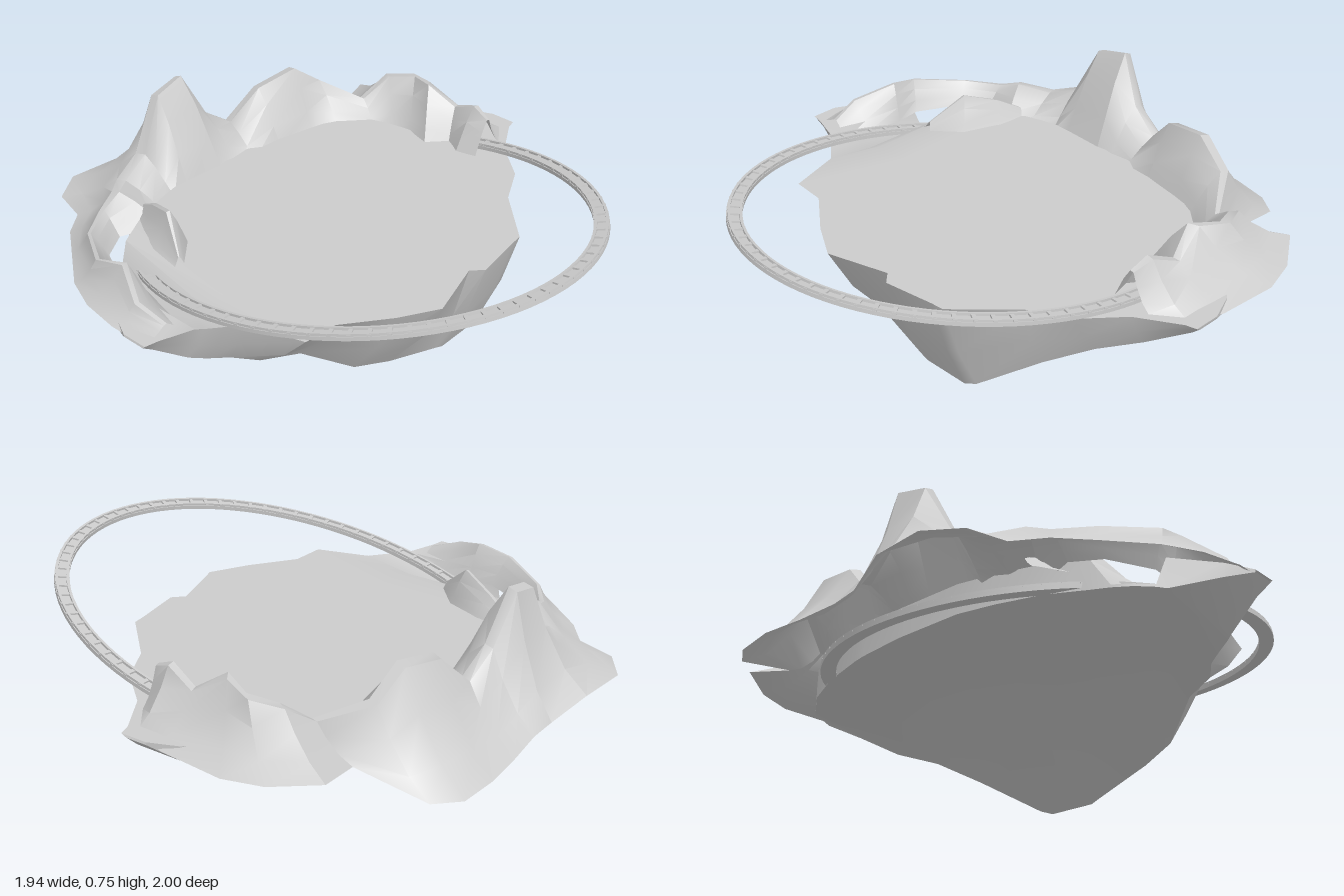
import * as THREE from 'three';
import { toCreasedNormals } from 'three/addons/utils/BufferGeometryUtils.js';

const material = new THREE.MeshStandardMaterial({ color: 0xcccccc, side: THREE.DoubleSide });
const mix = THREE.MathUtils.lerp;

// Skin a list of equally long cross-sections, each a list of [x, y, z]
function loft(name, rows, crease = 0.6) {
  const n = rows[0].length, index = [];
  for (let i = 0; i < rows.length - 1; i++) {
    for (let j = 0; j < n - 1; j++) {
      const a = i * n + j, b = a + 1, c = a + n, d = c + 1;
      index.push(a, b, c, b, d, c);
    }
  }
  const geometry = new THREE.BufferGeometry();
  geometry.setAttribute('position', new THREE.Float32BufferAttribute(rows.flat(2), 3));
  geometry.setIndex(index);
  const mesh = new THREE.Mesh(toCreasedNormals(geometry, crease), material);
  mesh.name = name;
  return mesh;
}

// Island stations: x, front rim z, keel z, keel y, back z
const islandStations = [
  [-0.97, 0.05, 0.04, 0.41, -0.05], [-0.92, 0.06, 0.03, 0.37, -0.15],
  [-0.8, 0.1, 0.05, 0.28, -0.3], [-0.78, 0.12, 0.06, 0.27, -0.33],
  [-0.73, 0.16, 0.08, 0.25, -0.38], [-0.67, 0.21, 0.12, 0.24, -0.42],
  [-0.61, 0.41, 0.2, 0.235, -0.45], [-0.48, 0.42, 0.26, 0.22, -0.52],
  [-0.32, 0.54, 0.36, 0.12, -0.57], [-0.18, 0.62, 0.4, 0.085, -0.6],
  [0.05, 0.55, 0.42, 0.02, -0.6], [0.09, 0.59, 0.42, 0.005, -0.6],
  [0.28, 0.56, 0.42, 0.01, -0.58], [0.33, 0.555, 0.41, 0.03, -0.57],
  [0.51, 0.37, 0.27, 0.15, -0.52], [0.66, 0.29, 0.18, 0.24, -0.45],
  [0.78, 0.15, 0.08, 0.28, -0.35], [0.93, 0.06, 0.02, 0.37, -0.15],
  [0.97, 0.05, 0.03, 0.41, -0.05],
];

function islandSection([x, front, keelZ, keelY, back]) {
  const top = 0.42, backY = Math.max(0.31, keelY);
  const section = [[x, top, front], [x, mix(top, keelY, 0.55), mix(front, keelZ, 0.45)]];
  for (let k = 0; k <= 6; k++) {
    const t = k / 6;
    section.push([x, mix(keelY, backY, 1 - (1 - t) ** 1.5), mix(keelZ, back, t)]);
  }
  // A shallow trench lets the track dip through the left side
  const trench = x > -0.79 && x < -0.64;
  section.push([x, trench ? 0.32 : top, back], [x, trench ? 0.39 : top, Math.min(0.02, front - 0.01)], [x, top, front]);
  return section;
}

// Ridge stations: inner foot x z, crest x z y, outer edge x z y
const leftRange = [
  [-0.8, 0.04, -0.86, 0.03, 0.44, -0.96, 0.04, 0.41],
  [-0.77, -0.06, -0.88, -0.08, 0.48, -0.96, -0.12, 0.41],
  [-0.75, -0.2, -0.8, -0.22, 0.53, -0.93, -0.28, 0.4],
  [-0.76, -0.3, -0.82, -0.34, 0.5, -0.87, -0.42, 0.39],
  [-0.68, -0.46, -0.71, -0.52, 0.47, -0.75, -0.58, 0.38],
  [-0.58, -0.52, -0.58, -0.6, 0.47, -0.66, -0.7, 0.37],
  [-0.42, -0.46, -0.5, -0.62, 0.5, -0.56, -0.78, 0.36],
  [-0.36, -0.52, -0.4, -0.7, 0.47, -0.52, -0.92, 0.36],
  [-0.27, -0.57, -0.28, -0.72, 0.52, -0.4, -1, 0.36],
  [-0.2, -0.57, -0.18, -0.74, 0.72, -0.2, -0.98, 0.36],
  [-0.03, -0.56, -0.06, -0.75, 0.75, -0.05, -0.93, 0.31],
];
const rightRange = [
  [-0.03, -0.56, -0.06, -0.75, 0.75, -0.05, -0.93, 0.31],
  [0.04, -0.55, 0.03, -0.72, 0.57, 0.05, -0.92, 0.3],
  [0.12, -0.54, 0.14, -0.7, 0.49, 0.2, -0.93, 0.29],
  [0.25, -0.53, 0.25, -0.65, 0.61, 0.36, -0.94, 0.29],
  [0.4, -0.5, 0.42, -0.62, 0.64, 0.5, -0.92, 0.28],
  [0.5, -0.45, 0.54, -0.6, 0.55, 0.59, -0.85, 0.29],
  [0.6, -0.35, 0.64, -0.45, 0.48, 0.64, -0.6, 0.36],
  [0.62, -0.27, 0.74, -0.4, 0.56, 0.83, -0.63, 0.4],
  [0.63, -0.2, 0.78, -0.3, 0.58, 0.93, -0.48, 0.39],
  [0.6, -0.1, 0.73, -0.19, 0.6, 0.97, -0.34, 0.39],
  [0.67, -0.04, 0.76, -0.08, 0.53, 0.96, -0.1, 0.4],
  [0.63, 0.02, 0.74, 0.03, 0.58, 0.92, 0.03, 0.41],
  [0.65, 0.1, 0.73, 0.1, 0.55, 0.81, 0.1, 0.42],
];
const crag = [
  [-0.56, -0.19, -0.58, -0.21, 0.45, -0.62, -0.2, 0.41],
  [-0.46, -0.28, -0.51, -0.33, 0.55, -0.6, -0.34, 0.4],
  [-0.4, -0.42, -0.46, -0.46, 0.5, -0.55, -0.49, 0.38],
  [-0.38, -0.52, -0.43, -0.56, 0.44, -0.5, -0.58, 0.38],
];

// Concave outer slope, narrow rounded crest and a steep inner wall
function ridgeSection([ix, iz, cx, cz, cy, ox, oz, oy]) {
  const foot = 0.39;
  const outer = (t, h) => [mix(ox, cx, t), mix(oy, cy, h), mix(oz, cz, t)];
  const inner = (t, h) => [mix(ix, cx, t), mix(foot, cy, h), mix(iz, cz, t)];
  return [outer(0, 0), outer(0.35, 0.22), outer(0.68, 0.6), outer(0.9, 0.97),
    inner(0.93, 1), inner(0.6, 0.72), inner(0.3, 0.36), inner(0, 0)];
}

// Tilted elliptical track with a base band, two rails and cross ties
function createTrack() {
  const track = new THREE.Group();
  track.name = 'track';
  const rx = 0.728, rz = 0.89;
  const at = (a) => {
    const p = new THREE.Vector3(rx * Math.sin(a), 0, rz * Math.cos(a));
    const out = new THREE.Vector3(Math.sin(a) / rx, 0, Math.cos(a) / rz).normalize();
    return { p, out };
  };
  const strip = (name, w0, w1, y0, y1) => {
    const rows = [];
    for (let i = 0; i <= 96; i++) {
      const { p, out } = at((i / 96) * Math.PI * 2);
      rows.push([[w1, y1], [w1, y0], [w0, y0], [w0, y1], [w1, y1]]
        .map(([w, y]) => [p.x + out.x * w, y, p.z + out.z * w]));
    }
    track.add(loft(name, rows));
  };
  strip('trackBed', -0.027, 0.027, -0.012, 0.002);
  strip('innerRail', -0.024, -0.015, 0.002, 0.011);
  strip('outerRail', 0.015, 0.024, 0.002, 0.011);
  const tie = new THREE.BoxGeometry(0.014, 0.007, 0.052);
  for (let i = 0; i < 84; i++) {
    const { p, out } = at((i / 84) * Math.PI * 2);
    const mesh = new THREE.Mesh(tie, material);
    mesh.name = 'tie';
    mesh.position.set(p.x, 0.005, p.z);
    mesh.rotation.y = Math.atan2(out.x, out.z);
    track.add(mesh);
  }
  track.position.set(0, 0.445, 0.1);
  track.rotation.x = -0.198;
  return track;
}

export function createModel() {
  const model = new THREE.Group();
  model.name = 'floatingIsland';
  model.add(
    loft('islandBody', islandStations.map(islandSection), 0.7),
    loft('leftMountains', leftRange.map(ridgeSection)),
    loft('rightMountains', rightRange.map(ridgeSection)),
    loft('innerCrag', crag.map(ridgeSection)),
    createTrack(),
  );
  return model;
}
